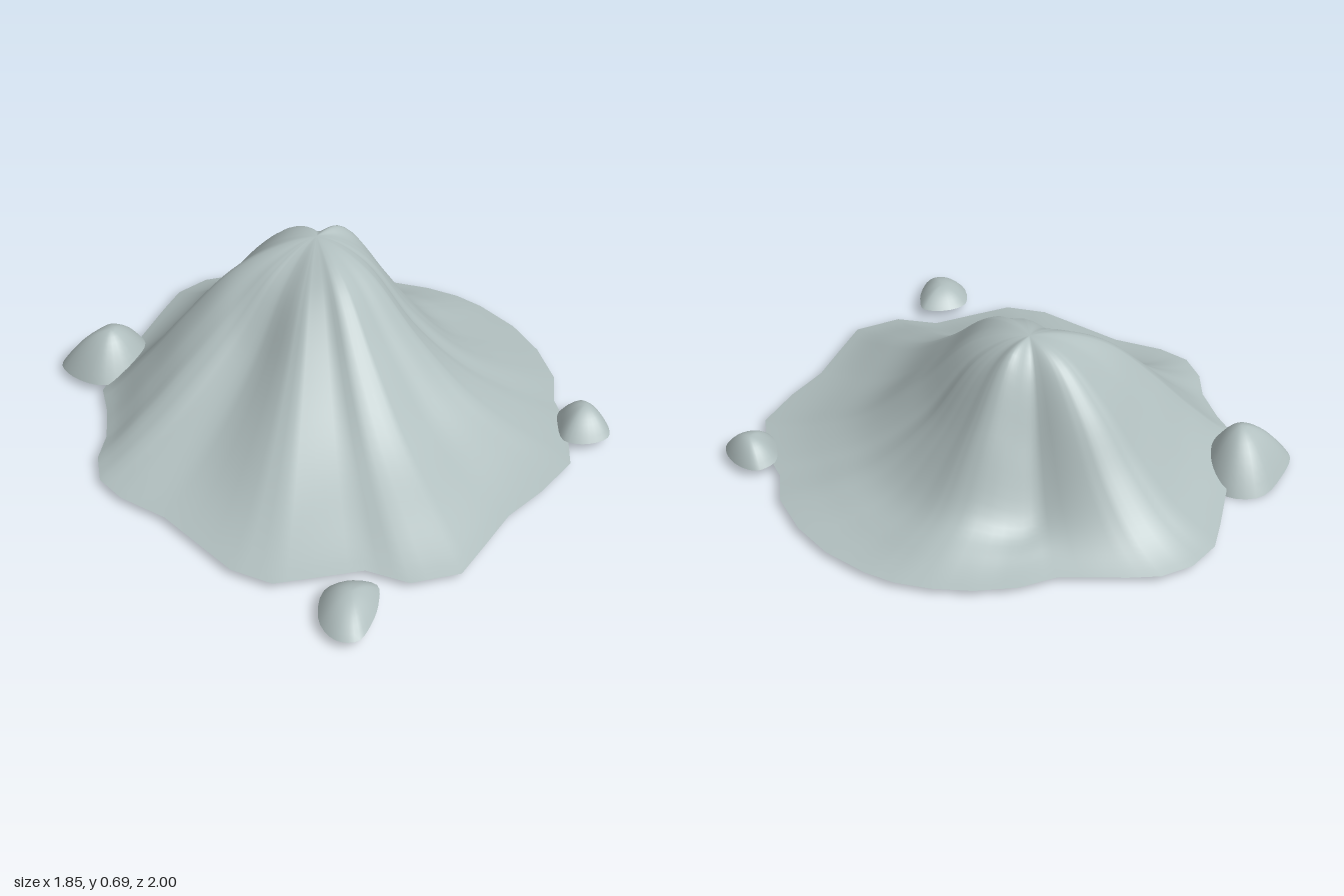
import * as THREE from 'three';

const stone = new THREE.MeshStandardMaterial({ color: 0xb0bebe, side: THREE.DoubleSide });
stone.name = 'paleStone';

// Cubic interpolation through four evenly spaced values
const cubic = (a, b, c, d, t) =>
  b + 0.5 * t * (c - a + t * (2 * a - 5 * b + 4 * c - d + t * (3 * (b - c) + d - a)));

// Open shell: rings shrinking from an apex out to a closed rim (rim runs from +x towards +z)
function shell(name, rim, [ax, az], rings, height) {
  const n = rim.length, pos = [ax, height(0, 0, ax, az), az], index = [];
  for (let r = 1; r <= rings; r++) {
    const t = r / rings;
    for (const [rx, rz] of rim) {
      const x = ax + (rx - ax) * t, z = az + (rz - az) * t;
      pos.push(x, height(t, Math.atan2(rz - az, rx - ax), x, z), z);
    }
  }
  for (let i = 0; i < n; i++) {
    const j = (i + 1) % n;
    index.push(0, 1 + j, 1 + i);
    for (let r = 0; r < rings - 1; r++) {
      const a = 1 + r * n, b = a + n;
      index.push(a + i, a + j, b + i, a + j, b + j, b + i);
    }
  }
  const geo = new THREE.BufferGeometry();
  geo.setAttribute('position', new THREE.Float32BufferAttribute(pos, 3));
  geo.setIndex(index);
  geo.computeVertexNormals();
  const mesh = new THREE.Mesh(geo, stone);
  mesh.name = name;
  return mesh;
}

// Jagged foot of the mound
const foot = [
  [0.92, 0.05], [0.9, 0.24], [0.84, 0.41], [0.74, 0.57], [0.62, 0.66], [0.56, 0.75],
  [0.48, 0.83], [0.36, 0.93], [0.16, 0.945], [-0.03, 0.935], [-0.2, 0.965], [-0.38, 0.995],
  [-0.54, 0.89], [-0.6, 0.73], [-0.75, 0.62], [-0.87, 0.53], [-0.92, 0.37], [-0.89, 0],
  [-0.925, -0.2], [-0.91, -0.33], [-0.83, -0.43], [-0.72, -0.5], [-0.61, -0.62], [-0.54, -0.72],
  [-0.35, -0.8], [-0.2, -0.86], [0, -0.93], [0.13, -0.97], [0.27, -0.95], [0.38, -0.88],
  [0.45, -0.78], [0.58, -0.56], [0.7, -0.47], [0.8, -0.34], [0.87, -0.2], [0.91, -0.07],
];

// Slope heights at 20, 40, 60 and 80 % of the way out, every 30 degrees from +x towards +z
const slopes = [
  [0.66, 0.43, 0.175, 0.085], [0.61, 0.35, 0.14, 0.06], [0.6, 0.34, 0.17, 0.08],
  [0.62, 0.4, 0.2, 0.09], [0.63, 0.42, 0.24, 0.125], [0.6, 0.4, 0.23, 0.1],
  [0.59, 0.36, 0.2, 0.09], [0.65, 0.55, 0.38, 0.19], [0.645, 0.51, 0.32, 0.14],
  [0.645, 0.49, 0.28, 0.115], [0.645, 0.48, 0.26, 0.11], [0.61, 0.35, 0.13, 0.065],
].map((s) => [s[0], 0.69, ...s, 0.03, 0.01]);

function moundHeight(t, angle) {
  const k = Math.min(Math.floor(t * 5), 4);
  const f = ((angle / (Math.PI / 6)) + 12) % 12, i = Math.floor(f);
  const along = [-1, 0, 1, 2].map((o) => {
    const s = slopes[(i + o + 12) % 12];
    return cubic(s[k], s[k + 1], s[k + 2], s[k + 3], t * 5 - k);
  });
  return cubic(...along, f - i);
}

// Small rounded boulder with a smooth rim
function boulder(name, points, apex, top, power, rimHeight) {
  const curve = new THREE.CatmullRomCurve3(points.map(([x, z]) => new THREE.Vector3(x, 0, z)), true);
  const rim = curve.getPoints(28).slice(0, -1).map((p) => [p.x, p.z]);
  return shell(name, rim, apex, 8, (t, a, x, z) => {
    const low = rimHeight(x, z);
    return low + (top - low) * (1 - t ** power);
  });
}

export function createModel() {
  const model = new THREE.Group();
  model.name = 'rockMound';

  // Subdivide the straight edges of the foot
  const rim = foot.flatMap(([x, z], i) => {
    const [u, w] = foot[(i + 1) % foot.length];
    return [0, 1 / 3, 2 / 3].map((s) => [x + (u - x) * s, z + (w - z) * s]);
  });
  model.add(shell('mound', rim, [0.13, -0.17], 30, moundHeight));

  // Loose boulders around the foot
  model.add(boulder('frontRightBoulder',
    [[-0.64, 0.82], [-0.7, 0.88], [-0.79, 0.925], [-0.88, 0.94], [-0.925, 0.88], [-0.9, 0.78], [-0.78, 0.695], [-0.69, 0.73]],
    [-0.77, 0.81], 0.11, 2.1, (x) => 0.035 + 0.05 * (x + 0.92)));
  model.add(boulder('frontLeftBoulder',
    [[0.665, 0.82], [0.63, 0.91], [0.57, 0.955], [0.48, 0.915], [0.44, 0.84], [0.5, 0.765], [0.57, 0.72], [0.65, 0.745]],
    [0.58, 0.83], 0.13, 2, () => 0.04));
  model.add(boulder('backBoulder',
    [[-0.185, -0.87], [-0.25, -0.74], [-0.4, -0.68], [-0.53, -0.74], [-0.565, -0.87], [-0.53, -0.975], [-0.4, -1], [-0.25, -0.98]],
    [-0.39, -0.82], 0.2, 1.8, (x, z) => Math.max(0, 0.02 - 0.07 * (x + 0.39) + 0.05 * (z + 0.9))));
  return model;
}
